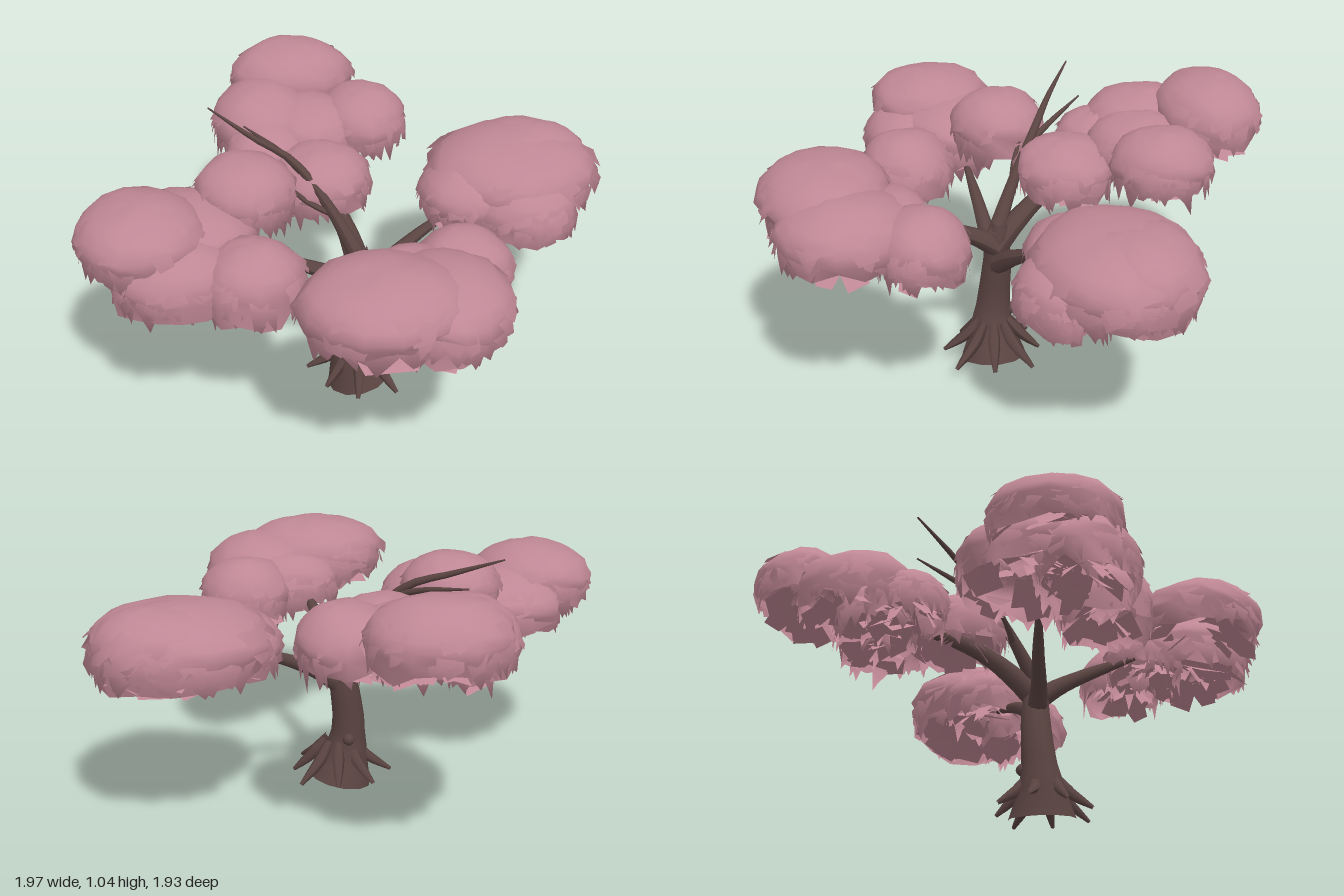
import * as THREE from 'three';
import { mergeVertices } from 'three/addons/utils/BufferGeometryUtils.js';

const V = (x, y, z) => new THREE.Vector3(x, y, z);

function seeded(seed) {
  let s = seed;
  return () => (s = (s * 16807) % 2147483647) / 2147483647;
}

// Tapered limb: a tube along a curve whose radius is interpolated from a list
function limb(points, radii, sides = 9, steps = 14) {
  const curve = new THREE.CatmullRomCurve3(points.map(p => V(...p)));
  const geo = new THREE.TubeGeometry(curve, steps, 1, sides);
  const pos = geo.attributes.position, v = V(), c = V();
  for (let i = 0; i <= steps; i++) {
    curve.getPointAt(i / steps, c);
    const f = (i / steps) * (radii.length - 1), k = Math.min(Math.floor(f), radii.length - 2);
    const r = THREE.MathUtils.lerp(radii[k], radii[k + 1], f - k);
    for (let j = 0; j <= sides; j++) {
      const n = i * (sides + 1) + j;
      v.fromBufferAttribute(pos, n).sub(c).multiplyScalar(r).add(c);
      pos.setXYZ(n, v.x, v.y, v.z);
    }
  }
  geo.computeVertexNormals();
  return geo;
}

// Lumpy dome, open below, with an uneven hem
function domeGeometry(rx, ry, rz, seed) {
  let geo = new THREE.SphereGeometry(1, 15, 8, 0, Math.PI * 2, 0, Math.PI * 0.64);
  geo.deleteAttribute('uv');
  geo.deleteAttribute('normal');
  geo = mergeVertices(geo, 1e-4);
  const pos = geo.attributes.position, rnd = seeded(seed * 977 + 31);
  for (let i = 0; i < pos.count; i++) {
    const x = pos.getX(i), y = pos.getY(i), z = pos.getZ(i);
    const k = 0.99 + 0.03 * Math.sin(4 * x + seed) * Math.cos(5 * z + seed) + (rnd() - 0.5) * (y < 0.3 ? 0.14 : 0.05);
    const drop = y < -0.35 ? rnd() * 0.5 : 0;
    pos.setXYZ(i, x * k * rx, (y * k - drop) * ry, z * k * rz);
  }
  geo.computeVertexNormals();
  return geo;
}

// Broad ragged leaf sheets: shingles over the flanks, layers below the dome
function sheetGeometry(rx, ry, rz, seed) {
  const rnd = seeded(seed * 613 + 7), p = [], n = [];
  const at = (a, t, k, drop = 0) =>
    V(Math.sin(t) * Math.cos(a) * rx * k, Math.cos(t) * ry - drop, Math.sin(t) * Math.sin(a) * rz * k);
  const quad = (a, b, c, d, flat) => {
    for (const q of [a, b, c, a, c, d]) {
      p.push(q.x, q.y, q.z);
      const m = flat ? V(q.x, 0.5, q.z) : V(q.x / rx, q.y / ry + 0.25, q.z / rz);
      m.normalize();
      n.push(m.x, m.y, m.z);
    }
  };
  for (let i = 0; i < 34; i++) {
    const a = rnd() * Math.PI * 2, t = Math.PI * (0.26 + rnd() * 0.26), w = 0.17 + rnd() * 0.16;
    const low = t + 0.3 + rnd() * 0.25, skew = (rnd() - 0.5) * 0.3;
    const side = w * (0.2 + rnd() * 0.7);
    const hang = t > 1.1 ? 0.05 : 0.01;
    quad(at(a + w, t, 0.96), at(a - w, t + 0.08, 0.96),
      at(a - side + skew, low, 1.02 + rnd() * 0.05, rnd() * hang),
      at(a + side * 0.5 + skew, low + 0.1, 1.01 + rnd() * 0.05, rnd() * hang), false);
  }
  // Pointed tatters along the hem
  for (let i = 0; i < 22; i++) {
    const a = rnd() * Math.PI * 2, t = Math.PI * (0.5 + rnd() * 0.12), w = 0.14 + rnd() * 0.14;
    const k = 0.94 + rnd() * 0.06, s = (rnd() - 0.5) * 0.3;
    quad(at(a + w, t, k), at(a - w, t + 0.1, k), at(a + s - 0.05, t, k, 0.05 + rnd() * 0.07),
      at(a + s + 0.09, t, k, 0.03 + rnd() * 0.03), false);
  }
  for (let i = 0; i < 20; i++) {
    const a = rnd() * Math.PI * 2, r = 0.15 + rnd() * 0.5, w = 0.4 + rnd() * 0.4, y = -ry * (0.15 + rnd() * 0.5);
    const q = (da, k, dy) => V(Math.cos(a + da) * rx * k, y + dy, Math.sin(a + da) * rz * k);
    quad(q(w, r, 0.015), q(-w, r, 0.015), q(-w * 0.5, r + 0.32, -0.02 - rnd() * 0.04),
      q(w * 0.3, r + 0.25, -0.02 - rnd() * 0.05), true);
  }
  const geo = new THREE.BufferGeometry();
  geo.setAttribute('position', new THREE.Float32BufferAttribute(p, 3));
  geo.setAttribute('normal', new THREE.Float32BufferAttribute(n, 3));
  return geo;
}

export function createModel() {
  const bark = new THREE.MeshStandardMaterial({ color: 0x5a4441 });
  const blossom = new THREE.MeshStandardMaterial({ color: 0xbf8795, side: THREE.DoubleSide });
  bark.name = 'bark';
  blossom.name = 'blossom';

  const tree = new THREE.Group();
  tree.name = 'tree';
  const add = (name, geo, mat, parent = tree) => {
    const mesh = new THREE.Mesh(geo, mat);
    mesh.name = name;
    parent.add(mesh);
    return mesh;
  };

  // Curved trunk, flared at the foot
  add('trunk', limb(
    [[0.025, 0.005, 0.11], [0, 0.12, 0.11], [-0.008, 0.25, 0.1], [0.01, 0.4, 0.09], [0.025, 0.5, 0.09], [0.025, 0.58, 0.08]],
    [0.125, 0.09, 0.067, 0.06, 0.056, 0.048, 0.03], 12, 20), bark);
  const knot = add('trunkKnot', new THREE.SphereGeometry(0.024, 8, 6), bark);
  knot.position.set(0, 0.19, 0.04);

  // Pointed roots around the foot
  const roots = new THREE.Group();
  roots.name = 'roots';
  tree.add(roots);
  for (let i = 0; i < 8; i++) {
    const a = (i / 8) * Math.PI * 2 + 0.15, far = 0.19 + 0.015 * ((i * 2) % 3 - 1);
    const q = (r, y) => [0.03 + Math.cos(a) * r, y, 0.11 + Math.sin(a) * r];
    add('root', limb([q(0.05, 0.17), q(0.1, 0.105), q(far, 0.035)], [0.016, 0.024, 0.018, 0.007], 6, 8), bark, roots);
  }

  // Main branches and bare twigs
  const branches = {
    rightBranch: [[[0.03, 0.41, 0.09], [-0.08, 0.485, 0.11], [-0.22, 0.55, 0.12], [-0.42, 0.65, 0.14]], [0.042, 0.029, 0.021, 0.008]],
    leftBranch: [[[0.03, 0.41, 0.09], [0.13, 0.485, 0.05], [0.28, 0.57, -0.02], [0.45, 0.63, -0.1]], [0.042, 0.028, 0.02, 0.008]],
    frontBranch: [[[0.03, 0.48, 0.09], [0.05, 0.54, 0.17], [0.08, 0.61, 0.3], [0.12, 0.69, 0.48]], [0.042, 0.03, 0.022, 0.008]],
    backBranch: [[[0.03, 0.48, 0.1], [0, 0.57, 0.01], [-0.05, 0.66, -0.12], [-0.12, 0.8, -0.48]], [0.048, 0.034, 0.025, 0.01]],
    bareBranch: [[[0.03, 0.53, 0.1], [-0.07, 0.7, 0.01], [-0.2, 0.85, -0.1], [-0.34, 0.91, -0.18], [-0.5, 0.985, -0.29]], [0.034, 0.021, 0.016, 0.011, 0.003]],
    upperTwig: [[[-0.17, 0.81, -0.08], [-0.24, 0.85, -0.17], [-0.37, 0.89, -0.31]], [0.013, 0.01, 0.003]],
    sideTwig: [[[-0.04, 0.67, 0.02], [-0.16, 0.73, -0.01], [-0.27, 0.82, -0.07]], [0.013, 0.01, 0.003]],
  };
  for (const [name, [points, radii]] of Object.entries(branches)) add(name, limb(points, radii), bark);

  // Blossom clouds: centre x, y, z and radii x, y, z
  const clouds = {
    backCloud: [
      [-0.16, 0.89, -0.76, 0.245, 0.135, 0.2], [0.1, 0.81, -0.51, 0.175, 0.125, 0.19],
      [-0.29, 0.81, -0.54, 0.2, 0.135, 0.23], [-0.11, 0.79, -0.48, 0.2, 0.12, 0.2],
      [-0.09, 0.73, -0.19, 0.19, 0.12, 0.19], [-0.28, 0.76, -0.36, 0.16, 0.11, 0.16]],
    leftCloud: [
      [0.64, 0.72, -0.2, 0.33, 0.145, 0.29], [0.7, 0.73, -0.25, 0.25, 0.14, 0.22],
      [0.46, 0.68, -0.12, 0.19, 0.12, 0.2], [0.66, 0.65, -0.02, 0.2, 0.13, 0.18]],
    frontCloud: [
      [0.04, 0.77, 0.71, 0.29, 0.135, 0.24], [0.25, 0.73, 0.66, 0.23, 0.13, 0.25],
      [0.35, 0.7, 0.41, 0.175, 0.13, 0.165], [0.17, 0.7, 0.5, 0.2, 0.12, 0.15]],
    rightCloud: [
      [-0.75, 0.78, 0.22, 0.23, 0.12, 0.24], [-0.6, 0.71, 0.13, 0.25, 0.13, 0.25],
      [-0.38, 0.81, 0.01, 0.185, 0.125, 0.18], [-0.37, 0.66, 0.37, 0.185, 0.14, 0.175],
      [-0.64, 0.67, 0.32, 0.23, 0.13, 0.185]],
  };
  let seed = 1;
  for (const [name, puffs] of Object.entries(clouds)) {
    const cloud = new THREE.Group();
    cloud.name = name;
    tree.add(cloud);
    for (const [x, y, z, ...r] of puffs) {
      seed++;
      add('blossomDome', domeGeometry(...r, seed), blossom, cloud).position.set(x, y, z);
      add('blossomSheets', sheetGeometry(...r, seed), blossom, cloud).position.set(x, y, z);
    }
  }
  return tree;
}
